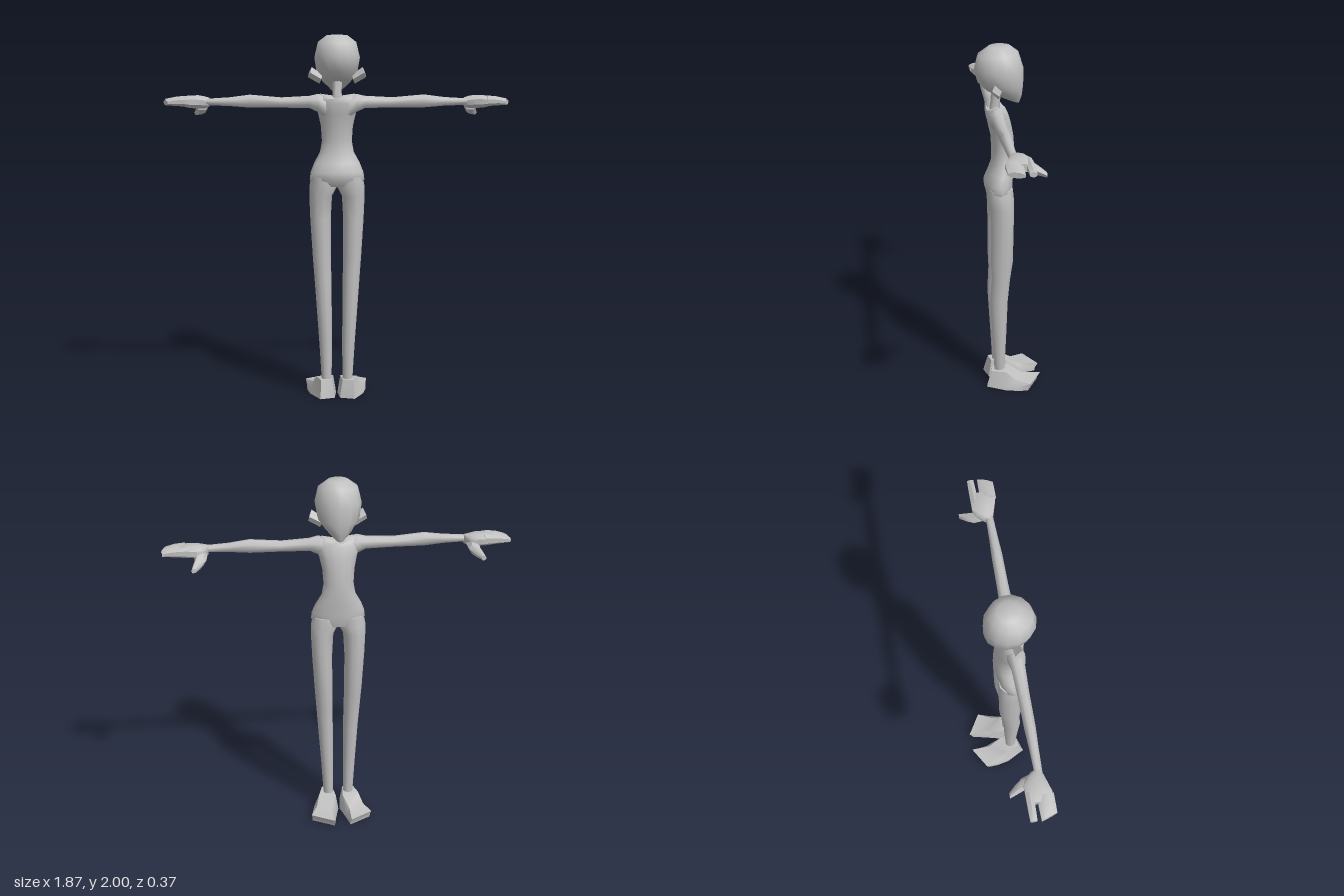
import * as THREE from 'three';
import { toCreasedNormals } from 'three/addons/utils/BufferGeometryUtils.js';

const clay = new THREE.MeshStandardMaterial({ color: 0xc0c0c0 });
clay.name = 'clay grey';

// Skins a list of equal-length rings, closes both ends and turns all faces outward.
function loft(name, rings, side = 1, crease = 0.9) {
  const n = rings[0].length;
  const pts = rings.flat().map(([x, y, z]) => new THREE.Vector3(x * side, y, z));
  const faces = [];
  for (let r = 0; r < rings.length - 1; r++) {
    for (let i = 0; i < n; i++) {
      const a = r * n + i, b = r * n + (i + 1) % n;
      faces.push([a, b, b + n], [a, b + n, a + n]);
    }
  }
  const cap = (start, flip) => {
    const c = new THREE.Vector3();
    for (let i = 0; i < n; i++) c.addScaledVector(pts[start + i], 1 / n);
    const k = pts.push(c) - 1;
    for (let i = 0; i < n; i++) {
      const a = start + i, b = start + (i + 1) % n;
      faces.push(flip ? [k, b, a] : [k, a, b]);
    }
  };
  const last = (rings.length - 1) * n;
  cap(0, true);
  cap(last, false);
  const volume = faces.reduce((v, [a, b, c]) =>
    v + pts[a].dot(new THREE.Vector3().crossVectors(pts[b], pts[c])), 0);
  if (volume < 0) faces.forEach((f) => f.reverse());
  const geo = new THREE.BufferGeometry().setFromPoints(pts);
  geo.setIndex(faces.flat());
  const mesh = new THREE.Mesh(toCreasedNormals(geo, crease), clay);
  mesh.name = name;
  return mesh;
}

const mix = (a, b, t) => a + (b - a) * t;

// Oval as [u, v] pairs running from 0 to 1 in both directions.
const oval = (n) => Array.from({ length: n }, (_, i) => {
  const t = ((i + 0.5) / n) * Math.PI * 2;
  const k = 1 / Math.cos(Math.PI / n);
  return [0.5 + 0.5 * k * Math.sin(t), 0.5 + 0.5 * k * Math.cos(t)];
});

// Level section: height, x range, z range.
const level = (n) => ([y, x0, x1, z0, z1]) =>
  oval(n).map(([u, v]) => [mix(x0, x1, u), y, mix(z0, z1, v)]);

// Upright section across an arm or finger: x, z range, y range, slant of the end.
const across = (n) => ([x, z0, z1, y0, y1, slant = 0]) =>
  oval(n).map(([u, v]) => [x - slant * v, mix(y0, y1, u), mix(z0, z1, v)]);

export function createModel() {
  const model = new THREE.Group();
  model.name = 'figure';

  // Head: rings tilt down toward the chin (back y, back z, front y, front z, half width)
  model.add(loft('head', [
    [2.0, 0.10, 2.0, -0.015, 0.055],
    [1.955, 0.16, 1.97, -0.055, 0.105],
    [1.88, 0.18, 1.88, -0.083, 0.125],
    [1.81, 0.16, 1.79, -0.082, 0.112],
    [1.77, 0.12, 1.73, -0.075, 0.075],
    [1.75, 0.08, 1.69, -0.06, 0.035],
  ].map(([yb, zb, yf, zf, w]) => Array.from({ length: 14 }, (_, i) => {
    const t = (i / 14) * Math.PI * 2, f = 0.5 - 0.5 * Math.cos(t);
    return [w * Math.sin(t), mix(yb, yf, f), mix(zb, zf, f)];
  }))));

  // Neck
  model.add(loft('neck', [
    [1.64, -0.026, 0.026, 0.045, 0.1],
    [1.70, -0.024, 0.024, 0.043, 0.092],
    [1.78, -0.026, 0.026, 0.035, 0.085],
  ].map(level(8))));

  // Torso, with a dip between the shoulders
  const torso = [
    [1.185, 0.12, -0.01, 0.105],
    [1.22, 0.146, -0.02, 0.128],
    [1.26, 0.141, -0.022, 0.13],
    [1.31, 0.122, -0.028, 0.11],
    [1.37, 0.09, -0.033, 0.09],
    [1.43, 0.08, -0.033, 0.088],
    [1.51, 0.085, -0.028, 0.092],
    [1.58, 0.1, -0.015, 0.107],
    [1.635, 0.118, 0.0, 0.118],
    [1.66, 0.11, 0.012, 0.115],
  ].map(([y, w, z0, z1]) => level(14)([y, -w, w, z0, z1]));
  torso.push(level(14)([1.65, -0.09, 0.09, 0.025, 0.105])
    .map(([x, y, z]) => [x, y + 0.4 * Math.abs(x), z]));
  model.add(loft('torso', torso));

  for (const [label, s] of [['left', 1], ['right', -1]]) {
    const add = (part, rings, crease) => model.add(loft(label + part, rings, s, crease));

    // Ear: small flared plate on the side of the head
    add('Ear', [
      [[0.08, 1.79, 0.075], [0.085, 1.765, 0.045], [0.095, 1.74, 0.06], [0.085, 1.765, 0.09]],
      [[0.137, 1.83, 0.085], [0.152, 1.80, 0.05], [0.157, 1.775, 0.065], [0.145, 1.80, 0.1]],
    ], 0.3);

    // Leg
    add('Leg', [
      [1.235, 0.012, 0.138, -0.015, 0.115],
      [1.18, 0.004, 0.148, -0.02, 0.116],
      [1.13, 0.03, 0.149, -0.02, 0.105],
      [1.0, 0.037, 0.144, -0.018, 0.102],
      [0.8, 0.036, 0.132, -0.015, 0.104],
      [0.69, 0.034, 0.124, 0.0, 0.1],
      [0.55, 0.032, 0.114, 0.012, 0.108],
      [0.3, 0.03, 0.097, 0.02, 0.095],
      [0.08, 0.032, 0.084, 0.03, 0.085],
    ].map(level(10)));

    // Foot: toes point to the back of the frame and outward
    const foot = ([ix, iz, ox, oz], [tix, tiz, tox, toz], y) =>
      [[ix, 0, iz], [ox, 0, oz], [mix(ox, tox, 0.15), 0.02, mix(oz, toz, 0.15)],
        [tox, y, toz], [tix, y, tiz], [mix(ix, tix, 0.15), 0.02, mix(iz, tiz, 0.15)]];
    add('Foot', [
      foot([0.015, 0.11, 0.095, 0.135], [0.03, 0.095, 0.09, 0.108], 0.1),
      foot([0.004, 0.01, 0.15, 0.03], [0.02, 0.005, 0.115, 0.025], 0.1),
      foot([0.03, -0.09, 0.165, -0.04], [0.05, -0.075, 0.135, -0.03], 0.055),
      foot([0.046, -0.165, 0.168, -0.095], [0.05, -0.185, 0.175, -0.11], 0.046),
    ], 0.6);

    // Arm
    add('Arm', [
      [0.06, 0.02, 0.11, 1.56, 1.675],
      [0.105, 0.022, 0.112, 1.59, 1.685],
      [0.15, 0.033, 0.102, 1.61, 1.675],
      [0.3, 0.038, 0.097, 1.613, 1.667],
      [0.47, 0.04, 0.095, 1.613, 1.682],
      [0.58, 0.045, 0.09, 1.622, 1.668],
      [0.71, 0.048, 0.086, 1.626, 1.66],
    ].map(across(8)));

    // Palm, fingers and thumb
    add('Palm', [
      [0.688, 0.035, 0.08, 1.618, 1.665],
      [0.715, 0.0, 0.09, 1.608, 1.672],
      [0.75, -0.015, 0.1, 1.607, 1.678],
      [0.8, -0.015, 0.115, 1.613, 1.676],
      [0.845, -0.012, 0.118, 1.625, 1.665],
    ].map(across(8)));
    add('Fingers', [
      [0.81, 0.038, 0.12, 1.62, 1.673],
      [0.87, 0.038, 0.12, 1.624, 1.667],
      [0.935, 0.04, 0.12, 1.627, 1.654, 0.03],
    ].map(across(8)));
    add('IndexFinger', [
      [0.79, -0.015, 0.025, 1.62, 1.672],
      [0.87, -0.015, 0.022, 1.628, 1.667],
      [0.93, -0.014, 0.02, 1.632, 1.656],
    ].map(across(6)));
    add('Thumb', [
      [0.73, 1.63, 0.03, 0.032],
      [0.733, 1.607, -0.015, 0.027],
      [0.75, 1.592, -0.05, 0.021],
      [0.77, 1.577, -0.085, 0.012],
    ].map(([x, y, z, r]) => oval(6).map(([u, v]) =>
      [x + (u - 0.5) * 2 * r, y + (v - 0.5) * 2 * r, z])));
  }
  return model;
}
